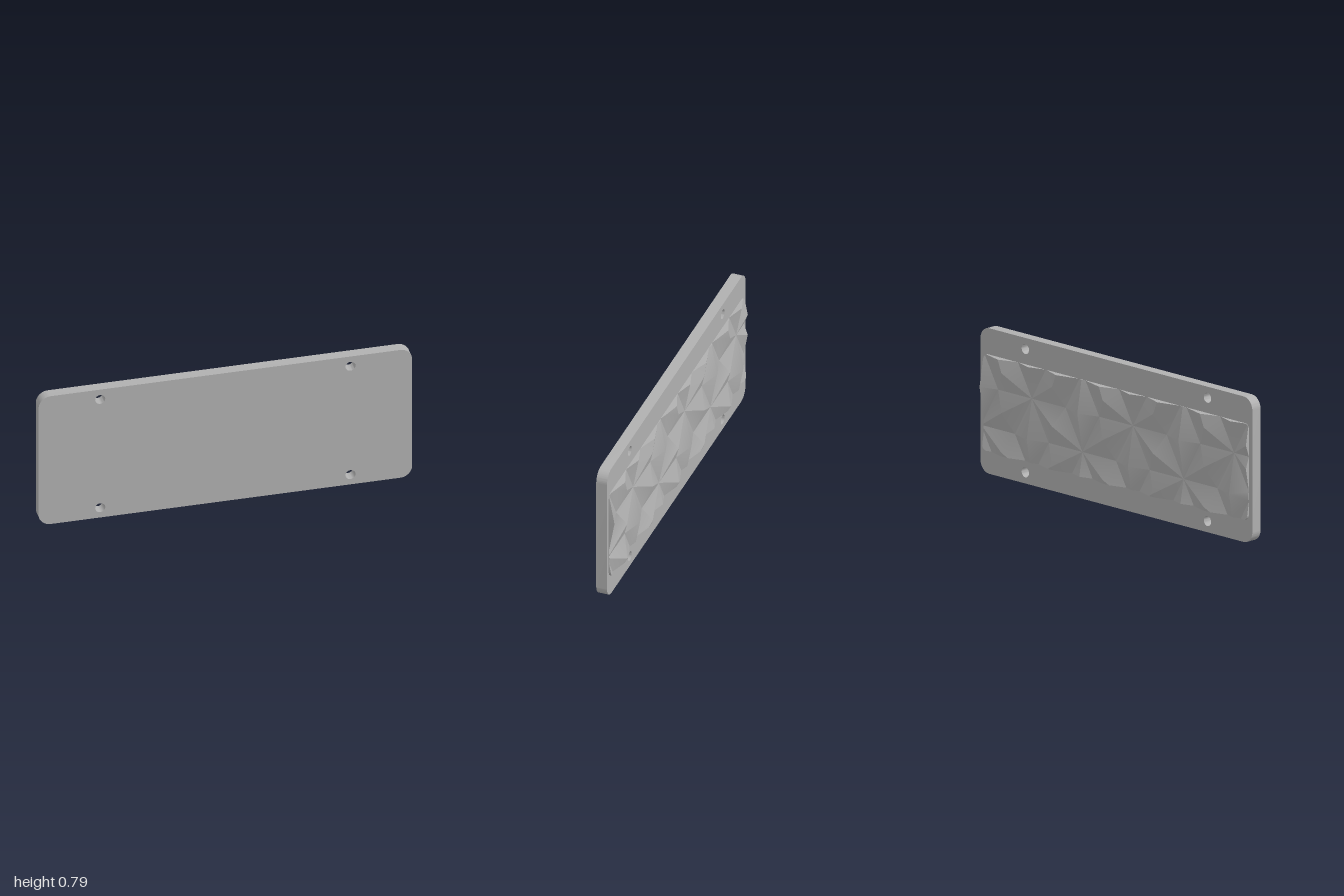
import * as THREE from 'three';
import { toCreasedNormals } from 'three/addons/utils/BufferGeometryUtils.js';

const BACK = -0.01;   // z of the plate's back face
const PEAK = 0.038;   // relief height

// Rounded rectangle outline, counter-clockwise
function roundedRect(x0, y0, x1, y1, r) {
  const s = new THREE.Shape();
  s.absarc(x1 - r, y0 + r, r, -Math.PI / 2, 0);
  s.absarc(x1 - r, y1 - r, r, 0, Math.PI / 2);
  s.absarc(x0 + r, y1 - r, r, Math.PI / 2, Math.PI);
  s.absarc(x0 + r, y0 + r, r, Math.PI, Math.PI * 1.5);
  return s;
}

// Plate with rounded corners and four screw holes
function plateGeometry() {
  const shape = roundedRect(-1, 0, 1, 0.785, 0.065);
  for (const x of [-0.67, 0.67]) for (const y of [0.06, 0.725]) {
    shape.holes.push(new THREE.Path().absarc(x, y, 0.027, 0, Math.PI * 2, true));
  }
  const geo = new THREE.ExtrudeGeometry(shape, { depth: 0.06, bevelEnabled: false, curveSegments: 12 });
  geo.translate(0, 0, BACK);
  return toCreasedNormals(geo, 0.6);
}

// Points are [x, y, height]
const mix = (...p) => [0, 1].map(k => p.reduce((s, v) => s + v[k], 0) / p.length);
const cross = (a, b, p) => (b[0] - a[0]) * (p[1] - a[1]) - (b[1] - a[1]) * (p[0] - a[0]);

// Keep the part of a polygon left of the line a-b
function clip(poly, a, b) {
  const out = [];
  poly.forEach((p, i) => {
    const q = poly[(i + 1) % poly.length];
    const dp = cross(a, b, p), dq = cross(a, b, q);
    if (dp >= 0) out.push(p);
    if ((dp > 0 && dq < 0) || (dp < 0 && dq > 0)) {
      const t = dp / (dp - dq);
      out.push(p.map((v, k) => v + (q[k] - v) * t));
    }
  });
  return out;
}

// Facets of one lattice triangle: low corners and centre, high edge midpoints
function facets(corners, top) {
  const c = [...mix(...corners), 0], out = [];
  corners.forEach((a, i) => {
    const b = corners[(i + 1) % 3];
    const m = [...mix(a, b), PEAK];
    for (const s of [a, b]) {
      // Raised crest where the pattern meets the upper border
      if (s[1] > top && c[1] > top && m[1] < top && m[1] > top - 0.1) {
        const p = [m[0] + Math.sign(s[0] - m[0]) * 0.03, m[1] + 0.075, PEAK];
        out.push([m, s, p], [s, c, p], [c, m, p]);
      } else out.push([m, s, c]);
    }
  });
  return out;
}

// Folded star relief, trimmed to a rounded rectangle, with a side wall
function reliefGeometry() {
  const top = 0.643;
  const border = roundedRect(-0.975, 0.123, 0.975, top, 0.03).getPoints(4)
    .map(p => [p.x, p.y])
    .filter((p, i, l) => i === 0 || Math.hypot(p[0] - l[i - 1][0], p[1] - l[i - 1][1]) > 1e-4);
  const dx = 0.372, dy = 0.2145;
  const pos = [];
  const put = (p, z) => pos.push(p[0], p[1], z);
  const high = p => BACK - p[2];

  for (let i = -6; i <= 3; i++) for (let j = -2; j <= 2; j++) for (const side of [-1, 1]) {
    const x = 0.622 + dx * i;
    const y = 0.467 - (i % 2 !== 0 ? dy : 0) + 2 * dy * j;
    const tri = [[x, y, 0], [x + side * dx, y - dy, 0], [x + side * dx, y + dy, 0]];
    for (const facet of facets(tri, top)) {
      let poly = cross(...facet) > 0 ? facet : [...facet].reverse();
      border.forEach((a, k) => {
        const b = border[(k + 1) % border.length];
        if (Math.hypot(b[0] - a[0], b[1] - a[1]) > 1e-4) poly = clip(poly, a, b);
      });
      for (let k = 1; k + 1 < poly.length; k++) {
        if (Math.abs(cross(poly[0], poly[k], poly[k + 1])) < 1e-9) continue;
        for (const p of [poly[0], poly[k + 1], poly[k]]) put(p, high(p));
      }
      // Wall below each facet edge that lies on the border
      poly.forEach((p, k) => {
        const q = poly[(k + 1) % poly.length];
        if (Math.hypot(q[0] - p[0], q[1] - p[1]) < 1e-5) return;
        const onBorder = border.some((a, n) => {
          const b = border[(n + 1) % border.length];
          const len = Math.hypot(b[0] - a[0], b[1] - a[1]);
          return len > 1e-4 && Math.abs(cross(a, b, p)) < 1e-7 * len && Math.abs(cross(a, b, q)) < 1e-7 * len;
        });
        if (!onBorder) return;
        put(p, high(p)); put(q, high(q)); put(q, BACK);
        put(p, high(p)); put(q, BACK); put(p, BACK);
      });
    }
  }
  const geo = new THREE.BufferGeometry();
  geo.setAttribute('position', new THREE.Float32BufferAttribute(pos, 3));
  return toCreasedNormals(geo, 0.45);
}

export function createModel() {
  const grey = new THREE.MeshStandardMaterial({ color: 0xb0b0b0 });
  grey.name = 'grey';
  const group = new THREE.Group();
  group.name = 'facetedPlate';
  const add = (name, geo) => {
    const mesh = new THREE.Mesh(geo, grey);
    mesh.name = name;
    group.add(mesh);
  };
  add('plate', plateGeometry());
  add('facetedRelief', reliefGeometry());
  return group;
}
